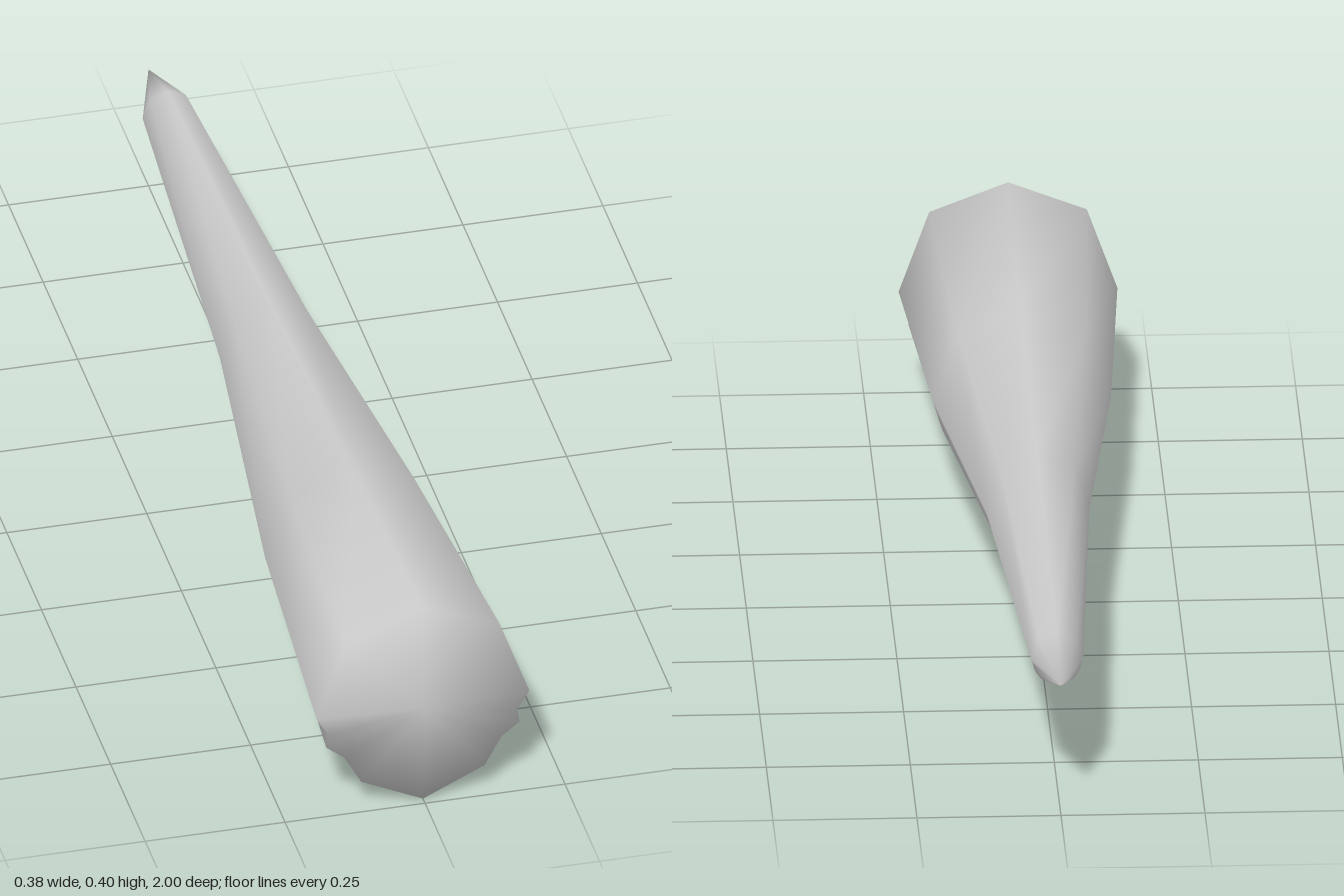
import * as THREE from 'three';

// Right half of the cross-section, bottom to top: x as a share of half width, y as a share of height
const half = [[0.58, 0.132], [0.74, 0.272], [0.91, 0.337], [0.885, 0.4], [1, 0.492], [0.72, 0.866]];
const smoothHalf = [[0.62, 0.132], [0.82, 0.25], [0.89, 0.32], [0.94, 0.4], [1, 0.492], [0.72, 0.866]];

// Stations along the spike: z, half width, bottom, top, how strongly the side ridge shows
const stations = [
  [0.985, 0.19, 0.003, 0.398, 1],
  [0.47, 0.155, 0.038, 0.364, 0.15],
  [-0.12, 0.09, 0.125, 0.328, 0],
  [-0.86, 0.045, 0.19, 0.29, 0],
];

function section([z, w, bottom, top, ridge]) {
  const side = half.map(([x, y], i) => [
    THREE.MathUtils.lerp(smoothHalf[i][0], x, ridge),
    THREE.MathUtils.lerp(smoothHalf[i][1], y, ridge),
  ]);
  const mirrored = side.map(([x, y]) => [-x, y]).reverse();
  return [[0, 0], ...side, [0, 1], ...mirrored]
    .map(([x, y]) => [x * w, bottom + y * (top - bottom), z]);
}

export function createModel() {
  const rings = stations.map(section);
  const n = rings[0].length;
  const points = rings.flat();
  const front = points.push([0, 0.2, 1]) - 1;
  const tip = points.push([0, 0.245, -1]) - 1;
  const last = (rings.length - 1) * n;
  const index = [];
  for (let i = 0; i < n; i++) {
    const j = (i + 1) % n;
    // Domed front end and pointed back end
    index.push(front, i, j, last + i, tip, last + j);
    // Tapering sides
    for (let k = 0; k < last; k += n) {
      index.push(k + i, k + n + i, k + j, k + j, k + n + i, k + n + j);
    }
  }
  const geometry = new THREE.BufferGeometry();
  geometry.setAttribute('position', new THREE.Float32BufferAttribute(points.flat(), 3));
  geometry.setIndex(index);
  geometry.computeVertexNormals();

  const spike = new THREE.Mesh(geometry, new THREE.MeshStandardMaterial({ color: 0xcccccc }));
  spike.name = 'taperedSpike';
  const group = new THREE.Group();
  group.name = 'spike';
  group.add(spike);
  return group;
}
